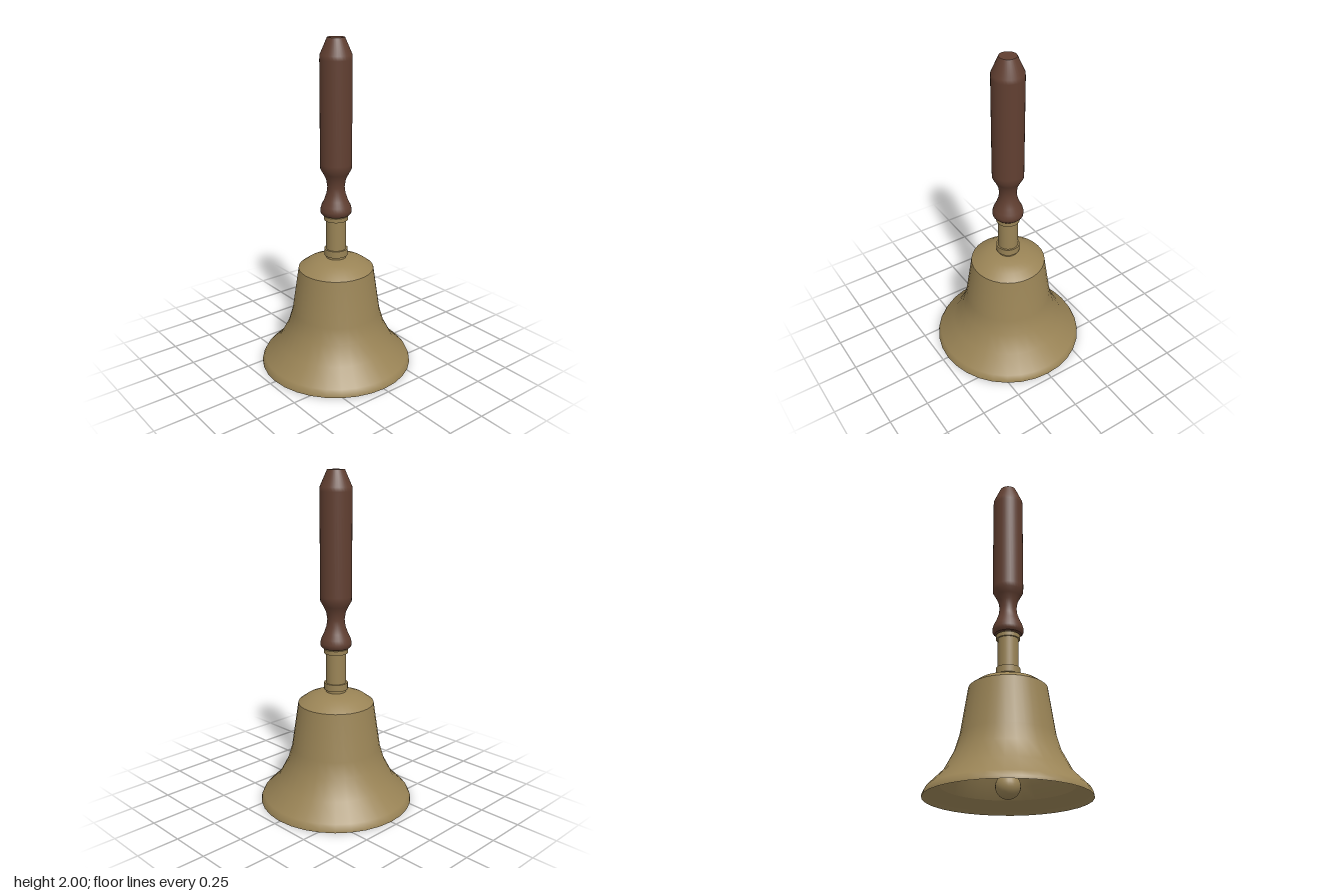
import * as THREE from 'three';

const SIDES = 32;

export function createModel() {
  const model = new THREE.Group();
  const brass = new THREE.MeshStandardMaterial({ color: 0x9a8456 });
  brass.name = 'brass';
  const wood = new THREE.MeshStandardMaterial({ color: 0x613f31 });
  wood.name = 'dark wood';

  // Each profile is a smooth run of [radius, height]; separate profiles meet in sharp edges.
  function turned(name, material, profiles) {
    const part = new THREE.Group();
    part.name = name;
    profiles.forEach((profile, i) => {
      const points = profile.map(([r, y]) => new THREE.Vector2(r, y));
      const mesh = new THREE.Mesh(new THREE.LatheGeometry(points, SIDES), material);
      mesh.name = `${name}Section${i + 1}`;
      part.add(mesh);
    });
    model.add(part);
  }

  // Flared bell wall and domed shoulder
  turned('bellOutside', brass, [
    [[0.465, 0], [0.463, 0.015], [0.448, 0.045], [0.358, 0.135], [0.298, 0.25], [0.27, 0.345], [0.228, 0.627]],
    [[0.228, 0.627], [0.18, 0.662], [0.13, 0.682], [0.08, 0.693], [0, 0.7]],
  ]);

  // Hollow inside, running downwards so its faces look inwards
  turned('bellInside', brass, [
    [[0, 0.66], [0.1, 0.65], [0.2, 0.61]],
    [[0.2, 0.61], [0.242, 0.345], [0.27, 0.25], [0.325, 0.14], [0.375, 0.07]],
    [[0.375, 0.07], [0.445, 0.02]],
    [[0.445, 0.02], [0.465, 0]],
  ]);

  // Neck with a collar at each end
  const addCylinder = (name, radius, bottom, top) => {
    const mesh = new THREE.Mesh(new THREE.CylinderGeometry(radius, radius, top - bottom, SIDES), brass);
    mesh.name = name;
    mesh.position.y = (bottom + top) / 2;
    model.add(mesh);
  };
  addCylinder('neck', 0.061, 0.68, 0.97);
  addCylinder('lowerCollar', 0.071, 0.71, 0.752);
  addCylinder('upperCollar', 0.071, 0.935, 0.96);

  // Clapper
  addCylinder('clapperRod', 0.014, 0.07, 0.66);
  const ball = new THREE.Mesh(new THREE.SphereGeometry(0.07, 24, 16), brass);
  ball.name = 'clapperBall';
  ball.position.y = 0.067;
  model.add(ball);

  // Turned wooden handle
  turned('handle', wood, [
    [[0, 0.968], [0.08, 0.968]],
    [[0.08, 0.968], [0.091, 0.98], [0.093, 1.0], [0.086, 1.027], [0.07, 1.06], [0.056, 1.1], [0.051, 1.14],
      [0.058, 1.185], [0.075, 1.22], [0.092, 1.25], [0.093, 1.28], [0.093, 1.88], [0.092, 1.905], [0.05, 2]],
    [[0.05, 2], [0, 2]],
  ]);

  return model;
}
